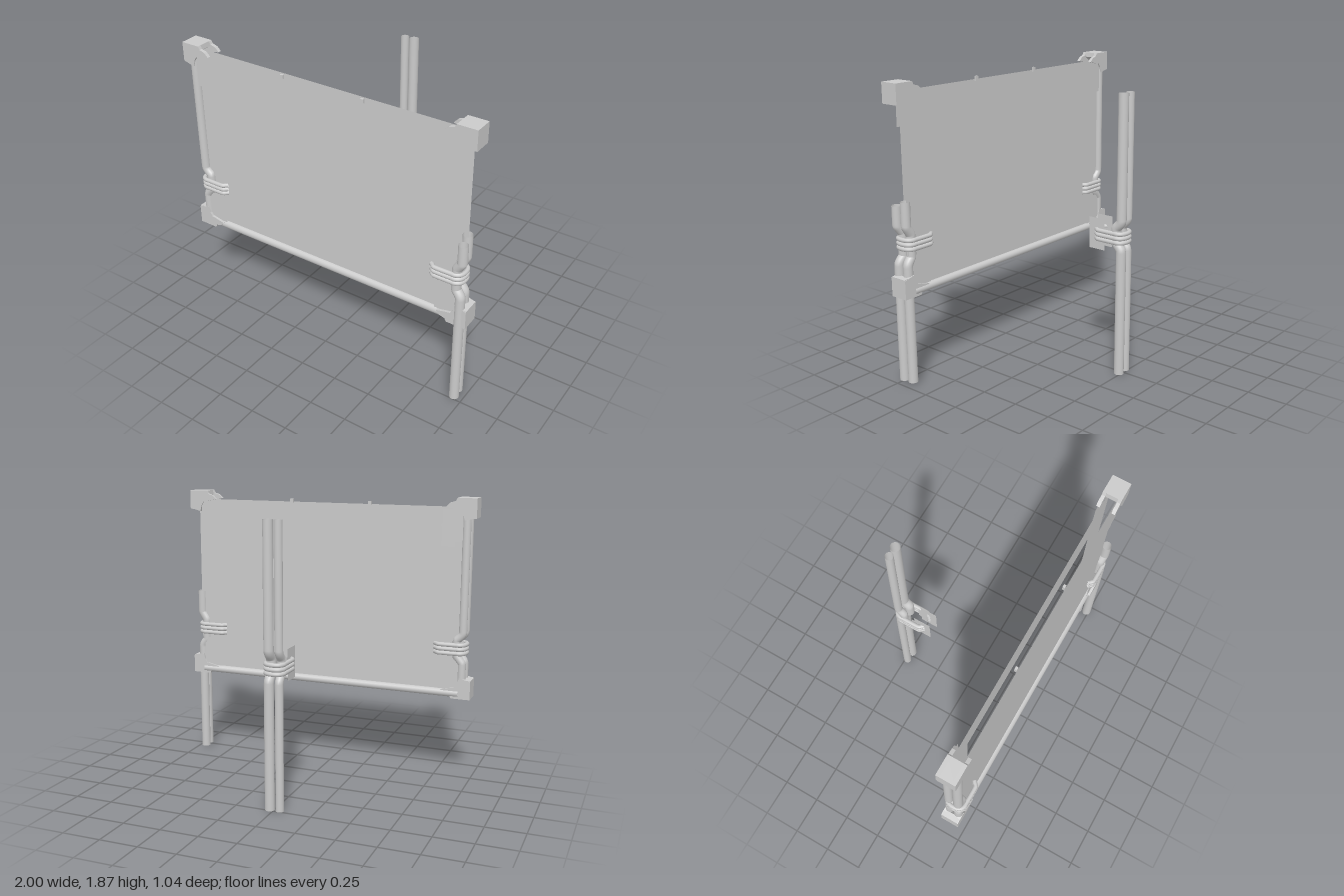
import * as THREE from 'three';

const V = (x, y, z) => new THREE.Vector3(x, y, z);
const outline = (points) => new THREE.Shape(points.map(([x, y]) => new THREE.Vector2(x, y)));

export function createModel() {
  const model = new THREE.Group();
  const grey = new THREE.MeshStandardMaterial({ color: 0xcacaca, side: THREE.DoubleSide });
  grey.name = 'light grey';

  const add = (name, geometry, x = 0, y = 0, z = 0) => {
    const mesh = new THREE.Mesh(geometry, grey);
    mesh.name = name;
    mesh.position.set(x, y, z);
    model.add(mesh);
    return mesh;
  };
  // Upright sheet facing z
  const sheet = (name, x0, x1, y0, y1, z) =>
    add(name, new THREE.PlaneGeometry(Math.abs(x1 - x0), y1 - y0), (x0 + x1) / 2, (y0 + y1) / 2, z);

  // Hollow upright with a short sideways jog (dx, dz) where the clamp grips it
  const post = (name, x, z, bottom, top, radius, dx, dz, low, high) => {
    const curve = new THREE.CatmullRomCurve3([
      V(x, bottom, z), V(x, low - 0.05, z), V(x + dx, low, z + dz),
      V(x + dx, high, z + dz), V(x, high + 0.05, z), V(x, top, z),
    ], false, 'catmullrom', 0.08);
    add(name, new THREE.TubeGeometry(curve, 110, radius, 20, false));
  };

  // Horizontal hollow rail
  const rail = (name, y, z, radius) => {
    const geometry = new THREE.CylinderGeometry(radius, radius, 1.84, 20, 1, true);
    add(name, geometry, 0, y, z).rotation.z = Math.PI / 2;
  };

  // Three stacked U-shaped wires; place(a, b) maps the U plane to x and z
  const clamp = (name, width, length, y, place) => {
    const half = [[length, width - 0.024], [length - 0.01, width - 0.016], [length - 0.025, width - 0.002],
      [length - 0.04, width], [0.06, width], [0.035, width], [0.012, width - 0.013], [0, width - 0.038]];
    const path = [...half, ...half.map(([a, b]) => [a, -b]).reverse()];
    for (const dy of [-0.028, 0, 0.028]) {
      const points = path.map(([a, b]) => {
        const [x, z] = place(a, b);
        return V(x, y + dy, z);
      });
      const curve = new THREE.CatmullRomCurve3(points, false, 'centripetal');
      add(name, new THREE.TubeGeometry(curve, 80, 0.014, 10, false));
    }
  };

  // Full front sheet, and a back sheet with a window
  sheet('frontSheet', -0.93, 0.905, 0.625, 1.81, 0.472);
  const frame = outline([[-0.94, 0.625], [0.94, 0.625], [0.94, 1.78], [0.905, 1.81], [-0.94, 1.81]]);
  frame.holes.push(new THREE.Path(
    [[-0.715, 0.85], [-0.715, 1.57], [0.715, 1.57], [0.715, 0.85]].map(([x, y]) => new THREE.Vector2(x, y))));
  add('backSheet', new THREE.ShapeGeometry(frame), 0, 0, 0.41);
  for (const x of [-0.28, 0.27])
    add('topPeg', new THREE.BoxGeometry(0.02, 0.035, 0.015), x, 1.812, 0.463);

  // Bottom rails
  rail('frontRail', 0.613, 0.468, 0.028);
  rail('backRail', 0.613, 0.403, 0.025);

  // Side posts, and the legs on the opposite side
  post('frontSidePost', -0.936, 0.474, 0.62, 1.8, 0.029, 0.038, 0, 0.86, 0.965);
  post('backSidePost', -0.936, 0.411, 0.62, 1.8, 0.026, 0.038, 0, 0.86, 0.965);
  post('frontLeg', 0.95, 0.486, 0.02, 1.14, 0.03, -0.032, -0.006, 0.82, 0.965);
  post('backLeg', 0.94, 0.421, 0.02, 1.17, 0.03, -0.03, 0, 0.82, 0.965);

  // Free-standing pair of poles
  post('rightPole', -0.04, -0.484, 0.005, 1.785, 0.026, 0, 0.036, 0.86, 0.96);
  post('leftPole', 0.026, -0.484, 0.005, 1.785, 0.031, 0, 0.036, 0.86, 0.96);

  // Wire clamps
  for (const s of [-1, 1])
    clamp('sideClamp', 0.059, 0.2, 0.907, (a, b) => [s * (0.953 - a), 0.448 + b]);
  clamp('poleClamp', 0.057, 0.205, 0.9, (a, b) => [-0.005 + b, -0.503 + a]);

  // Pair of thin tags held between the hooks of the pole clamp
  const tag = outline([[0.25, 0.8], [0.365, 0.8], [0.365, 0.85], [0.385, 0.85],
    [0.385, 0.95], [0.365, 0.95], [0.365, 1.0], [0.25, 1.0]]);
  for (const x of [-0.046, 0.036])
    add('poleTag', new THREE.ShapeGeometry(tag), x, 0, 0).rotation.y = Math.PI / 2;

  // Corner shoes: faceted L-shaped cheeks joined by a solid cap
  const cheekGeometry = new THREE.ExtrudeGeometry(outline([
    [0, 0], [0.125, 0], [0.135, 0.02], [0.17, 0.03], [0.195, 0.055], [0.13, 0.07],
    [0.1, 0.075], [0.085, 0.1], [0.075, 0.14], [0.035, 0.13], [0, 0.12],
  ]), { depth: 0.022, bevelEnabled: false });
  const capGeometry = new THREE.ExtrudeGeometry(outline([
    [0, 0], [0.125, 0], [0.13, 0.03], [0.07, 0.07], [0.04, 0.13], [0, 0.125],
  ]), { depth: 0.112, bevelEnabled: false });
  for (const s of [-1, 1]) {
    for (const t of [-1, 1]) {
      const shoe = new THREE.Group();
      shoe.name = 'cornerShoe';
      for (const [name, geometry, z] of [['backCheek', cheekGeometry, 0.385],
        ['frontCheek', cheekGeometry, 0.482], ['shoeCap', capGeometry, 0.388]]) {
        const part = new THREE.Mesh(geometry, grey);
        part.name = name;
        part.position.z = z;
        shoe.add(part);
      }
      shoe.position.set(s, t > 0 ? 1.872 : 0.58, 0);
      shoe.scale.set(-s, -t, 1);
      model.add(shoe);

      // Thin reinforcing plates standing just off both sheets
      const y0 = t > 0 ? 1.6 : 0.64;
      for (const z of [0.394, 0.488]) {
        sheet('cornerPlate', s * 0.785, s * 0.915, y0, y0 + 0.2, z);
        if (t > 0) sheet('cornerPlateTab', s * 0.78, s * 0.865, 1.568, 1.6, z);
        add('plateKnob', new THREE.CircleGeometry(0.014, 14), s * 0.79, y0 + 0.1, z);
      }
    }
  }
  return model;
}
